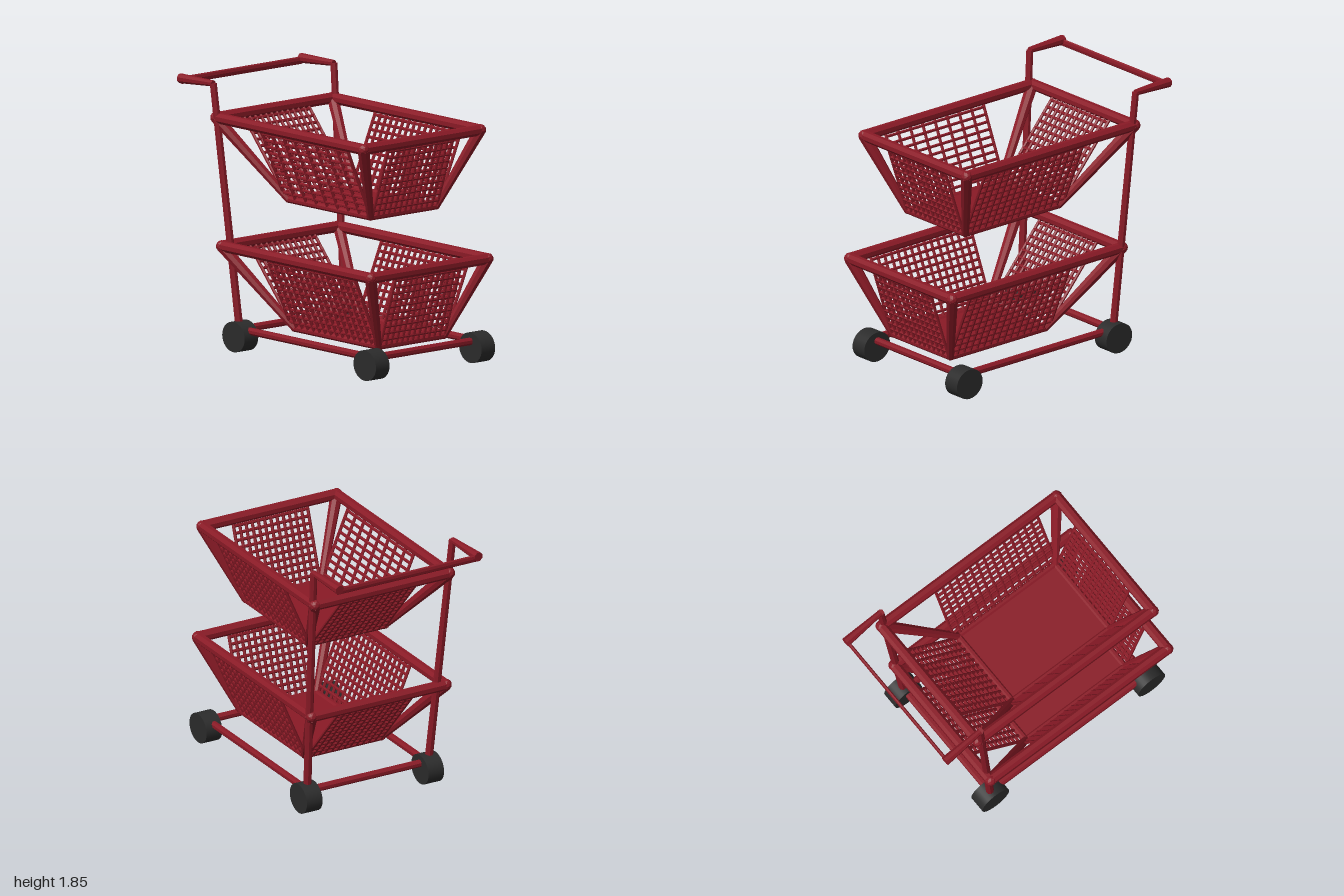
import * as THREE from 'three';

const red = new THREE.MeshStandardMaterial({ color: 0x8a1a26, flatShading: true });
const black = new THREE.MeshStandardMaterial({ color: 0x2b2b2b });
const V = (x, y, z) => new THREE.Vector3(x, y, z);

// Straight tapered rod between two points
function rod(name, a, b, r0, r1 = r0, sides = 8) {
  const dir = b.clone().sub(a);
  const geo = new THREE.CylinderGeometry(r1, r0, dir.length(), sides);
  geo.rotateY(Math.PI / sides);
  const mesh = new THREE.Mesh(geo, red);
  mesh.name = name;
  mesh.position.copy(a).add(b).multiplyScalar(0.5);
  mesh.quaternion.setFromUnitVectors(V(0, 1, 0), dir.normalize());
  return mesh;
}

// Rods around a closed loop of corners, with rounded joints
function loop(name, pts, r) {
  const g = new THREE.Group();
  g.name = name;
  pts.forEach((p, i) => {
    g.add(rod(name + 'Rail', p, pts[(i + 1) % pts.length], r));
    const joint = new THREE.Mesh(new THREE.IcosahedronGeometry(r * 1.08, 1), red);
    joint.name = name + 'Joint';
    joint.position.copy(p);
    g.add(joint);
  });
  return g;
}

// Rectangular wire grid: corner at origin, spanned by u (across) and v (down)
function grid(name, origin, u, v, cols, rows) {
  const g = new THREE.Group();
  g.name = name;
  const at = (s, t) => origin.clone().addScaledVector(u, s).addScaledVector(v, t);
  for (let i = 0; i <= cols; i++) g.add(rod('uprightWire', at(i / cols, 0), at(i / cols, 1), 0.011, 0.011, 6));
  for (let j = 0; j <= rows; j++) g.add(rod('crossWire', at(0, j / rows), at(1, j / rows), 0.011, 0.011, 6));
  return g;
}

function rectangle(x0, x1, y, z0, z1) {
  return [V(x0, y, z0), V(x1, y, z0), V(x1, y, z1), V(x0, y, z1)];
}

// Tapered basket: rim, corner posts, floor and four wire panels
function basket(name, o) {
  const g = new THREE.Group();
  g.name = name;
  const rim = rectangle(o.x0, o.x1, o.top, o.z - 0.525, o.z + 0.525);
  const base = rectangle(o.bx0, o.bx1, o.bottom, o.z - 0.295, o.z + 0.295);
  g.add(loop('rim', rim, 0.038), loop('floorFrame', base, 0.023));
  rim.forEach((p, i) => g.add(rod('cornerPost', base[i], p, 0.026, 0.042)));

  const floor = new THREE.Mesh(new THREE.BoxGeometry(o.bx1 - o.bx0, 0.02, 0.59), red);
  floor.name = 'floor';
  floor.position.set((o.bx0 + o.bx1) / 2, o.bottom, o.z);
  g.add(floor);

  const drop = o.bottom - o.top;
  for (const s of [-1, 1]) {
    g.add(grid(s > 0 ? 'frontPanel' : 'backPanel',
      V(o.bx0 - 0.03, o.top, o.z + s * 0.525), V(o.bx1 - o.bx0 + 0.04, 0, 0),
      V(0, drop, -s * 0.225), s > 0 ? o.frontCols : 15, 11));
  }
  g.add(grid('rearEndPanel', V(o.x0, o.top, o.z - 0.29), V(0, 0, 0.58),
    V(o.bx0 - o.x0 - 0.02, drop, 0), 12, 13));
  g.add(grid('noseEndPanel', V(o.x1, o.top, o.z - 0.29), V(0, 0, 0.58),
    V(o.bx1 - o.x1 + 0.01, drop, 0), 12, 11));
  return g;
}

export function createModel() {
  const model = new THREE.Group();
  model.name = 'shoppingCart';

  model.add(
    basket('upperBasket', { x0: -0.66, x1: 0.845, bx0: -0.18, bx1: 0.655, top: 1.592, bottom: 1.07, z: -0.015, frontCols: 8 }),
    basket('lowerBasket', { x0: -0.57, x1: 0.95, bx0: -0.085, bx1: 0.765, top: 0.725, bottom: 0.2, z: 0.012, frontCols: 15 })
  );

  // Base frame
  model.add(loop('baseFrame', rectangle(-0.495, 0.845, 0.15, -0.5, 0.43), 0.026));

  // Leaning uprights and handle arms
  for (const side of [{ foot: 0.44, top: 0.535, end: 0.555 }, { foot: -0.505, top: -0.55, end: -0.53 }]) {
    const elbow = V(-0.66, 1.83, side.top);
    model.add(rod('upright', V(-0.495, 0.12, side.foot), elbow, 0.028, 0.025));
    model.add(rod('handleArm', elbow, V(-0.975, 1.822, side.end), 0.021, 0.034));
  }

  // Flattened push bar
  const bar = new THREE.Mesh(new THREE.CylinderGeometry(0.026, 0.026, 1.085, 8), red);
  bar.name = 'pushBar';
  bar.rotation.x = Math.PI / 2;
  bar.scale.x = 0.45;
  bar.position.set(-0.96, 1.81, 0.0125);
  model.add(bar);

  // Wheels
  for (const x of [-0.495, 0.845]) {
    for (const z of [0.438, -0.512]) {
      const wheel = new THREE.Mesh(new THREE.CylinderGeometry(0.115, 0.115, 0.122, 32), black);
      wheel.name = 'wheel';
      wheel.rotation.x = Math.PI / 2;
      wheel.scale.z = 0.91;
      wheel.position.set(x, 0.105, z);
      model.add(wheel);
    }
  }
  return model;
}
